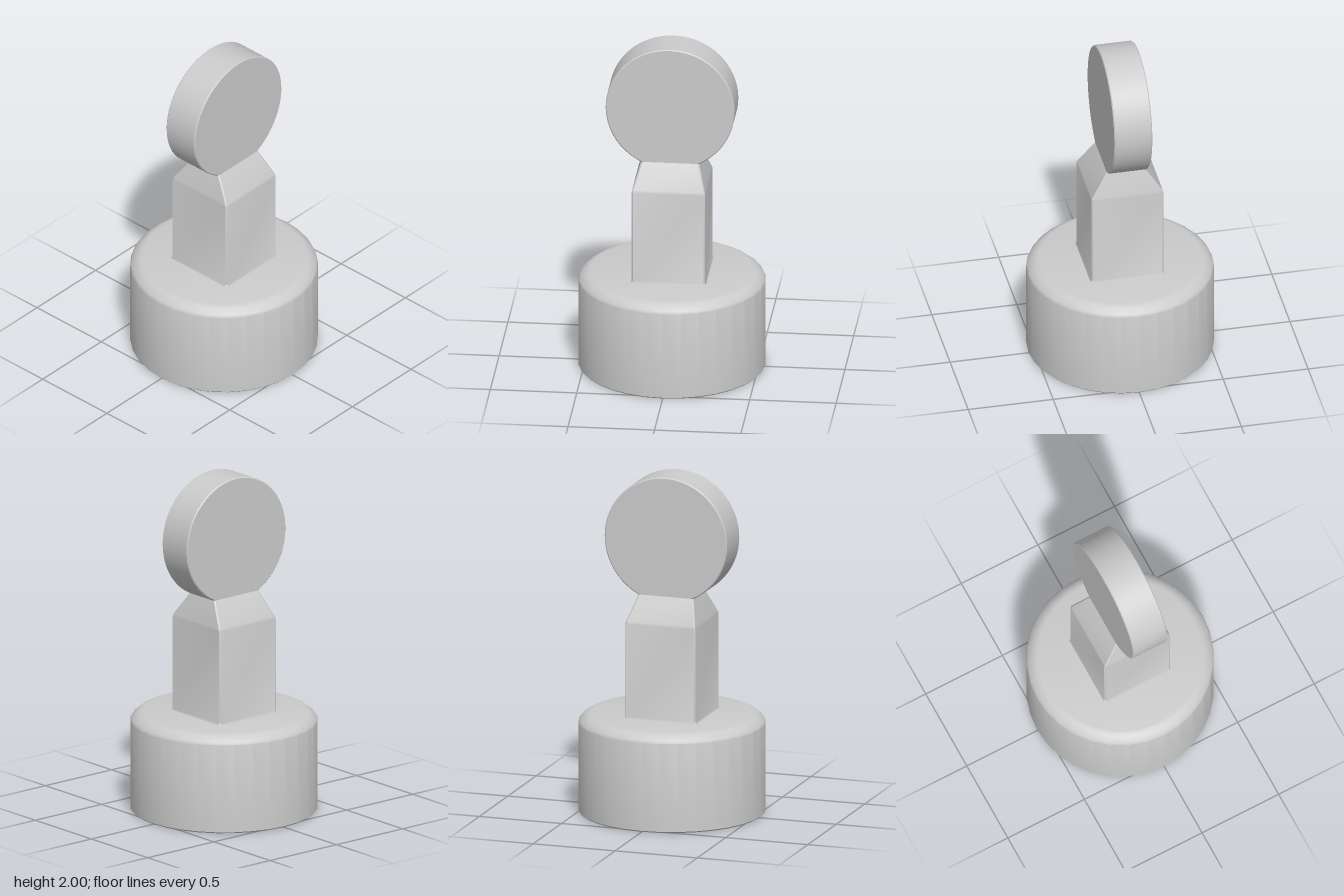
import * as THREE from 'three';
import { toCreasedNormals } from 'three/addons/utils/BufferGeometryUtils.js';

const material = new THREE.MeshStandardMaterial({ color: 0xcccccc });

function addPart(group, name, geometry, crease = 0.5) {
  const mesh = new THREE.Mesh(toCreasedNormals(geometry, crease), material);
  mesh.name = name;
  group.add(mesh);
  return mesh;
}

// Turned solid from [radius, height] pairs, listed bottom to top
function turned(profile, segments) {
  return new THREE.LatheGeometry(profile.map(([r, y]) => new THREE.Vector2(r, y)), segments);
}

// Loft through rectangles [y, halfX, halfZ] with narrow chamfered corners
function loftedPost(sections, chamfer) {
  const positions = [], indices = [];
  for (const [y, a, b] of sections) {
    const c = chamfer;
    const ring = [[a, b - c], [a - c, b], [c - a, b], [-a, b - c], [-a, c - b], [c - a, -b], [a - c, -b], [a, c - b]];
    for (const [x, z] of ring) positions.push(x, y, z);
  }
  for (let s = 0; s < sections.length - 1; s++) {
    for (let i = 0; i < 8; i++) {
      const p = s * 8 + i, q = s * 8 + (i + 1) % 8;
      indices.push(p, p + 8, q, q, p + 8, q + 8);
    }
  }
  // Top cap
  const top = (sections.length - 1) * 8;
  for (let i = 1; i < 7; i++) indices.push(top, top + i + 1, top + i);
  const geometry = new THREE.BufferGeometry();
  geometry.setAttribute('position', new THREE.Float32BufferAttribute(positions, 3));
  geometry.setIndex(indices);
  return geometry;
}

export function createModel() {
  const group = new THREE.Group();
  group.name = 'pawn';

  // Round base with a softened top rim
  addPart(group, 'base', turned([
    [0, 0], [0.532, 0], [0.54, 0.008], [0.54, 0.53], [0.532, 0.545],
    [0.505, 0.567], [0.485, 0.577], [0.47, 0.58], [0, 0.58],
  ], 32));

  // Square post with a small foot flare, tapering into the neck
  addPart(group, 'post', loftedPost([
    [0.575, 0.22, 0.22], [0.59, 0.213, 0.213], [1.14, 0.213, 0.213],
    [1.155, 0.208, 0.21], [1.295, 0.112, 0.167],
  ], 0.008));

  // Upright disc head, its axis along x
  const head = addPart(group, 'head', turned([
    [0, -0.112], [0.367, -0.112], [0.373, -0.106],
    [0.373, 0.106], [0.367, 0.112], [0, 0.112],
  ], 64));
  head.rotation.z = Math.PI / 2;
  head.position.y = 1.627;

  return group;
}
